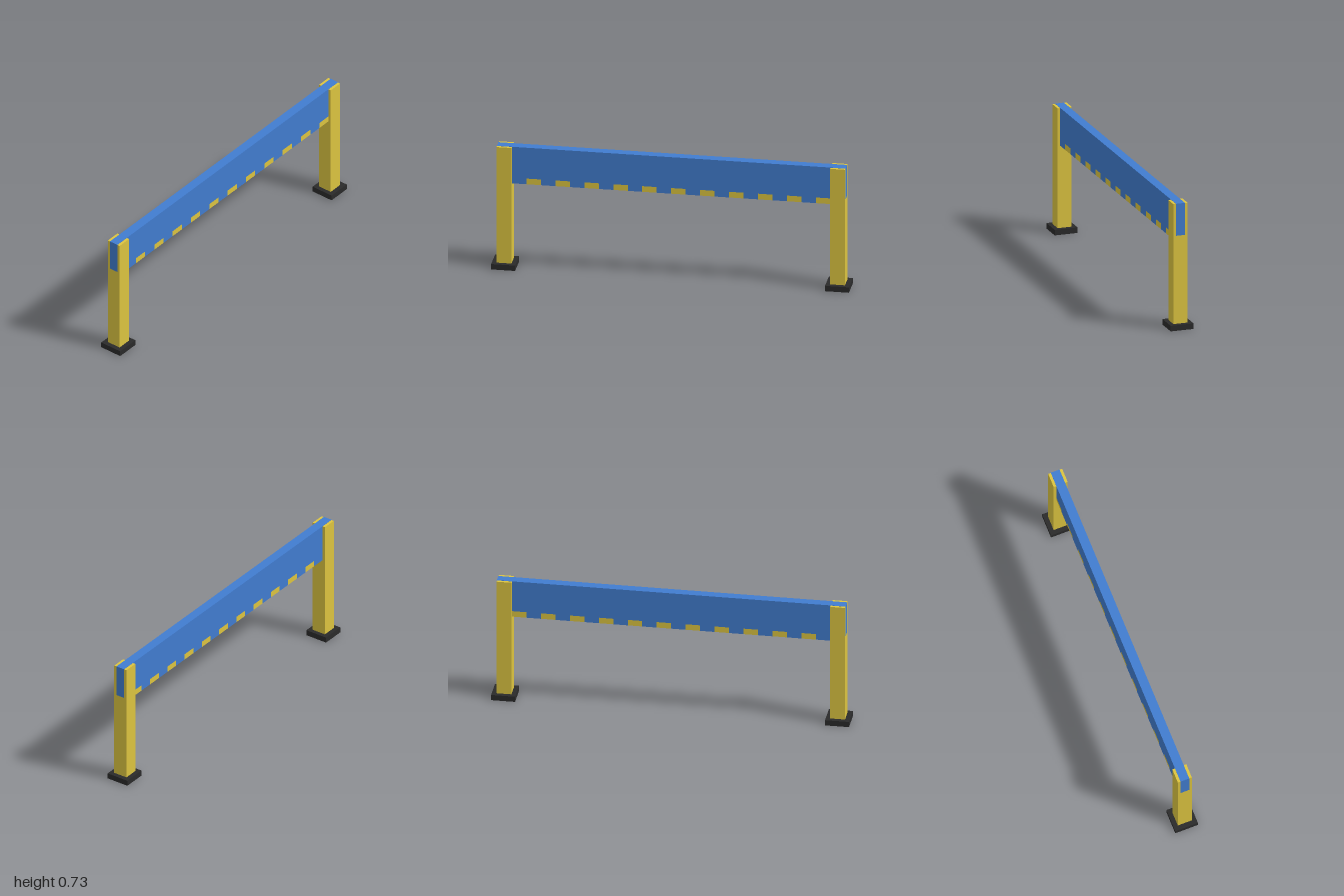
import * as THREE from 'three';

export function createModel() {
  const model = new THREE.Group();
  model.name = 'hurdleBarrier';
  const paint = (color) => new THREE.MeshStandardMaterial({ color });
  const yellow = paint(0xdcc440);
  const blue = paint(0x417ccf);
  const black = paint(0x2a2a2a);

  // Box spanning y0..y1, centred on x = 0 and the given z
  function box(name, material, width, y0, y1, depth, z) {
    const mesh = new THREE.Mesh(new THREE.BoxGeometry(width, y1 - y0, depth), material);
    mesh.position.set(0, (y0 + y1) / 2, z);
    mesh.name = name;
    model.add(mesh);
  }

  // Posts and their square feet at both ends
  for (const [name, side] of [['front', 1], ['back', -1]]) {
    box(name + 'Foot', black, 0.134, 0, 0.032, 0.134, side * 0.933);
    box(name + 'Post', yellow, 0.083, 0.03, 0.725, 0.083, side * 0.932);
  }

  // Long beam running through both posts, just proud of their faces
  box('beam', blue, 0.052, 0.541, 0.726, 1.949, 0);

  // Striped strip under the beam, alternating blue and yellow between the posts
  const count = 22;
  const length = 1.782 / count;
  for (let i = 0; i < count; i++) {
    const z = 0.891 - (i + 0.5) * length;
    box('stripe' + (i + 1), i % 2 ? yellow : blue, 0.052, 0.507, 0.541, length, z);
  }

  return model;
}
